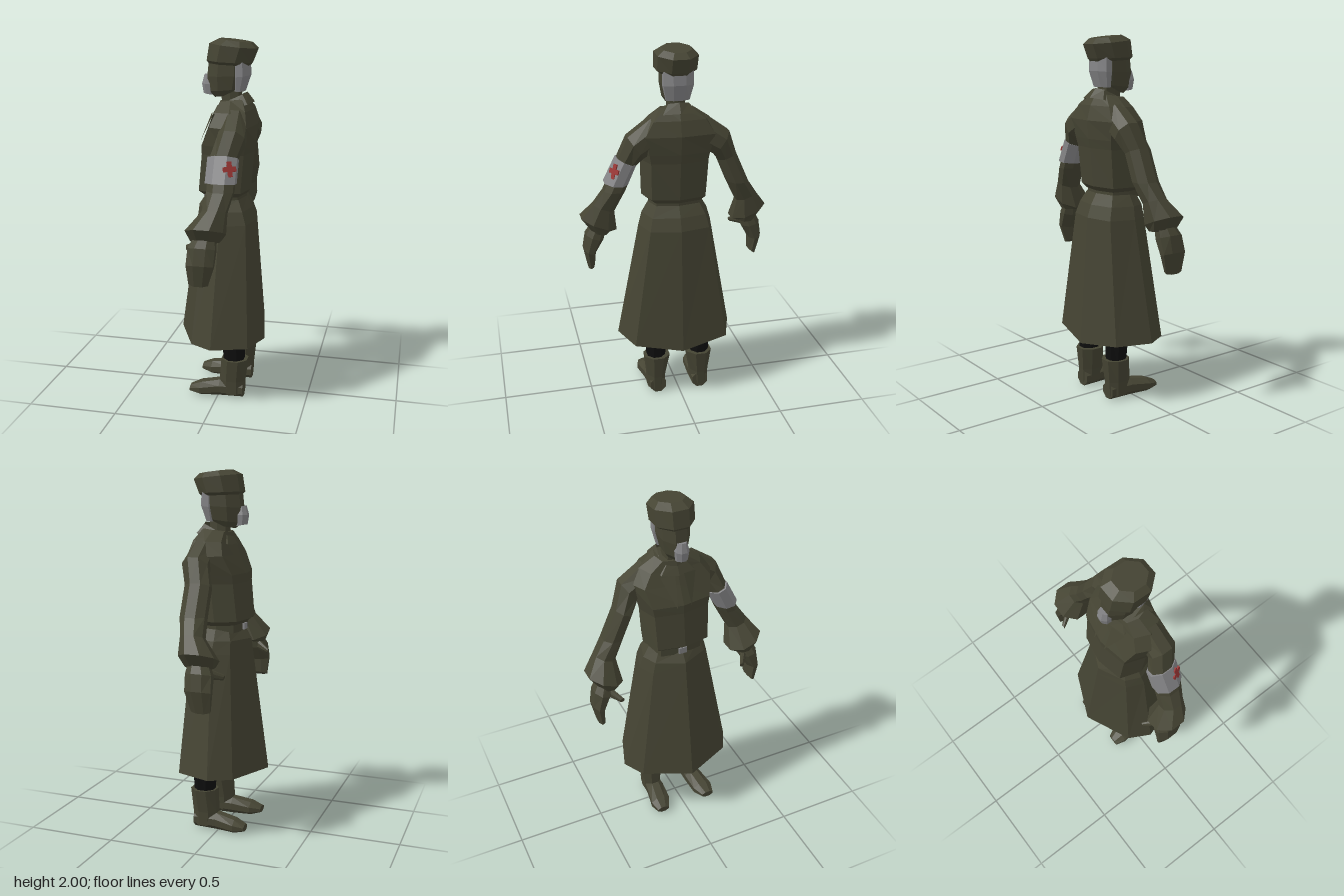
import * as THREE from 'three';

const V = (x, y, z) => new THREE.Vector3(x, y, z);
const mat = (name, color, side = THREE.FrontSide) => {
  const m = new THREE.MeshStandardMaterial({ color, side, flatShading: true });
  m.name = name;
  return m;
};

// Eight-sided ring between opposite points a and b, with half width vector w.
// flat = true puts a flat side at a and b, otherwise a corner.
function ring(a, b, w, flat = false) {
  const c = a.clone().add(b).multiplyScalar(0.5);
  const u = b.clone().sub(a).multiplyScalar(0.5);
  return Array.from({ length: 8 }, (_, i) => {
    const t = (i + (flat ? 0.5 : 0)) * Math.PI / 4;
    const k = flat ? 1.082 : i % 2 ? 1.13 : 1;
    return c.clone().addScaledVector(u, Math.cos(t) * k).addScaledVector(w, Math.sin(t) * k);
  });
}

// Body ring: front point (x0, y0), back point (x1, y1), half width hz
const level = (x0, y0, x1, y1, hz, flat = false, z = 0) =>
  ring(V(x0, y0, z), V(x1, y1, z), V(0, 0, hz), flat);

// Limb ring: inner point (zi, yi), outer point (zo, yo), x range; s picks the side
const limb = (s, [zi, yi, zo, yo, x0, x1]) => {
  const x = (x0 + x1) / 2;
  return ring(V(x, yi, zi * s), V(x, yo, zo * s), V((x1 - x0) / 2, 0, 0), true);
};

// Skin a row of rings, turning the faces outward
function loft(name, rings, material, caps = true) {
  const tris = [], n = 8;
  for (let r = 0; r < rings.length - 1; r++) {
    for (let i = 0; i < n; i++) {
      const j = (i + 1) % n, p = rings[r], q = rings[r + 1];
      tris.push([p[i], p[j], q[j]], [p[i], q[j], q[i]]);
    }
  }
  if (caps) {
    const first = rings[0], last = rings[rings.length - 1];
    for (let i = 1; i < n - 1; i++) {
      tris.push([first[0], first[i + 1], first[i]], [last[0], last[i], last[i + 1]]);
    }
  }
  const mid = rings.flat().reduce((a, p) => a.add(p), V(0, 0, 0)).divideScalar(rings.length * n);
  let volume = 0;
  for (const [a, b, c] of tris) {
    volume += a.clone().sub(mid).dot(b.clone().sub(mid).cross(c.clone().sub(mid)));
  }
  const pts = tris.flatMap(([a, b, c]) => (volume < 0 ? [a, c, b] : [a, b, c]));
  const g = new THREE.BufferGeometry().setFromPoints(pts);
  g.computeVertexNormals();
  const mesh = new THREE.Mesh(g, material);
  mesh.name = name;
  return mesh;
}

function box(name, size, pos, material) {
  const m = new THREE.Mesh(new THREE.BoxGeometry(...size), material);
  m.position.set(...pos);
  m.name = name;
  return m;
}

export function createModel() {
  const root = new THREE.Group();
  root.name = 'coatedFigure';
  const olive = mat('olive cloth', 0x454433);
  const oliveOpen = mat('olive cloth two sided', 0x454433, THREE.DoubleSide);
  const black = mat('black trousers', 0x0e0e0e);
  const grey = mat('pale grey', 0x858587);
  const red = mat('red', 0x9a3634);

  // Coat skirt, open below, dipping at the back
  const skirt = [
    level(-0.10, 1.15, 0.13, 1.15, 0.15),
    level(-0.14, 1.09, 0.165, 1.09, 0.185),
    level(-0.15, 1.02, 0.19, 1.02, 0.205),
    level(-0.245, 0.35, 0.24, 0.35, 0.33),
  ];
  for (const r of skirt) for (const i of [3, 5]) r[i].x *= 0.64;
  skirt[3][0].y = 0.31;
  root.add(loft('coatSkirt', skirt, oliveOpen, false));

  // Belt and buckle
  root.add(loft('belt', [
    level(-0.10, 1.13, 0.125, 1.13, 0.148),
    level(-0.10, 1.21, 0.125, 1.21, 0.148),
  ], olive));
  root.add(box('buckle', [0.012, 0.035, 0.045], [-0.102, 1.155, 0], grey));

  // Jacket body
  root.add(loft('jacket', [
    level(-0.105, 1.175, 0.13, 1.165, 0.155),
    level(-0.135, 1.2, 0.152, 1.19, 0.185),
    level(-0.115, 1.40, 0.17, 1.40, 0.193),
    level(-0.115, 1.45, 0.18, 1.45, 0.205),
    level(-0.065, 1.55, 0.187, 1.55, 0.235),
    level(-0.035, 1.62, 0.165, 1.63, 0.175),
    level(-0.02, 1.67, 0.13, 1.69, 0.09),
  ], olive));

  // Turned-over collar, dropping toward the throat
  root.add(loft('collar', [
    level(-0.03, 1.60, 0.12, 1.66, 0.085),
    level(-0.035, 1.645, 0.13, 1.72, 0.07),
    level(-0.06, 1.60, 0.17, 1.67, 0.115),
  ], oliveOpen, false));

  // Neck and head
  root.add(loft('neck', [
    level(-0.01, 1.60, 0.10, 1.62, 0.05),
    level(-0.015, 1.74, 0.10, 1.74, 0.05),
  ], olive));
  root.add(loft('head', [
    level(-0.045, 1.69, 0.07, 1.71, 0.042, true),
    level(-0.075, 1.72, 0.11, 1.74, 0.062, true),
    level(-0.085, 1.80, 0.135, 1.81, 0.076, true),
    level(-0.075, 1.89, 0.135, 1.89, 0.076, true),
  ], olive));
  root.add(loft('hair', [
    level(0.06, 1.725, 0.115, 1.725, 0.062, true),
    level(0.055, 1.80, 0.143, 1.81, 0.08, true),
    level(0.055, 1.88, 0.14, 1.88, 0.08, true),
  ], grey));
  root.add(loft('muzzle', [
    level(-0.11, 1.71, -0.05, 1.70, 0.03, true),
    level(-0.118, 1.76, -0.05, 1.76, 0.036, true),
    level(-0.105, 1.81, -0.05, 1.80, 0.026, true),
  ], grey));

  // Round cap
  root.add(loft('cap', [
    level(-0.075, 1.87, 0.14, 1.86, 0.085, true),
    level(-0.085, 1.885, 0.15, 1.875, 0.106, true),
    level(-0.07, 1.975, 0.18, 1.95, 0.108, true),
    level(-0.02, 2.0, 0.15, 1.98, 0.075, true),
  ], olive));

  for (const s of [1, -1]) {
    const side = s > 0 ? 'right' : 'left';

    // Lapel plate on the chest
    const lapel = new THREE.BufferGeometry().setFromPoints([
      V(-0.06, 1.61, 0.025 * s), V(-0.04, 1.60, 0.10 * s), V(-0.125, 1.445, 0.04 * s),
    ]);
    lapel.computeVertexNormals();
    const lapelMesh = new THREE.Mesh(lapel, oliveOpen);
    lapelMesh.name = side + 'Lapel';
    root.add(lapelMesh);

    // Sleeve with flared cuff
    root.add(loft(side + 'Sleeve', [
      [0.11, 1.47, 0.15, 1.64, 0.02, 0.155],
      [0.19, 1.43, 0.275, 1.55, 0.02, 0.165],
      [0.23, 1.38, 0.325, 1.42, -0.01, 0.13],
      [0.285, 1.25, 0.40, 1.25, -0.01, 0.13],
      [0.345, 1.13, 0.455, 1.17, -0.02, 0.105],
      [0.33, 1.01, 0.52, 1.085, -0.10, 0.10],
      [0.365, 0.995, 0.46, 1.0, -0.08, 0.075],
    ].map(p => limb(s, p)), olive));

    // Gloved hand and thumb
    root.add(loft(side + 'Hand', [
      [0.38, 1.04, 0.46, 1.04, -0.05, 0.05],
      [0.40, 0.95, 0.495, 0.98, -0.085, 0.06],
      [0.445, 0.87, 0.51, 0.89, -0.09, 0.055],
      [0.45, 0.79, 0.485, 0.77, -0.08, 0.025],
    ].map(p => limb(s, p)), olive));
    root.add(loft(side + 'Thumb', [
      ring(V(-0.04, 1.0, 0.42 * s), V(-0.04, 0.94, 0.42 * s), V(0, 0, 0.022), true),
      ring(V(-0.12, 0.955, 0.365 * s), V(-0.115, 0.93, 0.37 * s), V(0, 0, 0.012), true),
    ], olive));

    // Leg and boot, toe turned slightly outward
    root.add(loft(side + 'Leg', [
      level(0.035, 0.2, 0.145, 0.2, 0.05, true, 0.128 * s),
      level(0.02, 0.4, 0.15, 0.4, 0.06, true, 0.13 * s),
      level(-0.06, 0.95, 0.12, 0.95, 0.075, true, 0.09 * s),
    ], black));
    root.add(loft(side + 'BootShaft', [
      level(0.02, 0.02, 0.148, 0.02, 0.048, true, 0.13 * s),
      level(0.01, 0.10, 0.152, 0.10, 0.052, true, 0.128 * s),
      level(0.02, 0.23, 0.165, 0.23, 0.072, true, 0.124 * s),
    ], olive));
    root.add(loft(side + 'BootFoot', [
      [0.145, 0.09, 0, 0.045, 0.125],
      [0.01, 0.095, 0, 0.052, 0.13],
      [-0.10, 0.075, 0, 0.058, 0.143],
      [-0.16, 0.05, 0.015, 0.035, 0.15],
    ].map(([x, top, low, w, z]) =>
      ring(V(x, top, z * s), V(x, low, z * s), V(0, 0, w), true)), olive));
  }

  // Armband with a red cross on its outer back face
  root.add(loft('armband', [
    [0.225, 1.385, 0.327, 1.43, -0.02, 0.138],
    [0.272, 1.28, 0.395, 1.295, -0.02, 0.138],
  ].map(p => limb(1, p)), grey));
  const cross = new THREE.Group();
  cross.name = 'armbandCross';
  cross.add(box('crossUpright', [0.026, 0.08, 0.008], [0, 0, 0], red));
  cross.add(box('crossBar', [0.07, 0.026, 0.008], [0, 0, 0], red));
  cross.position.set(0.108, 1.366, 0.346);
  cross.lookAt(cross.position.clone().add(V(0.48, 0.3, 0.82)));
  root.add(cross);

  return root;
}
